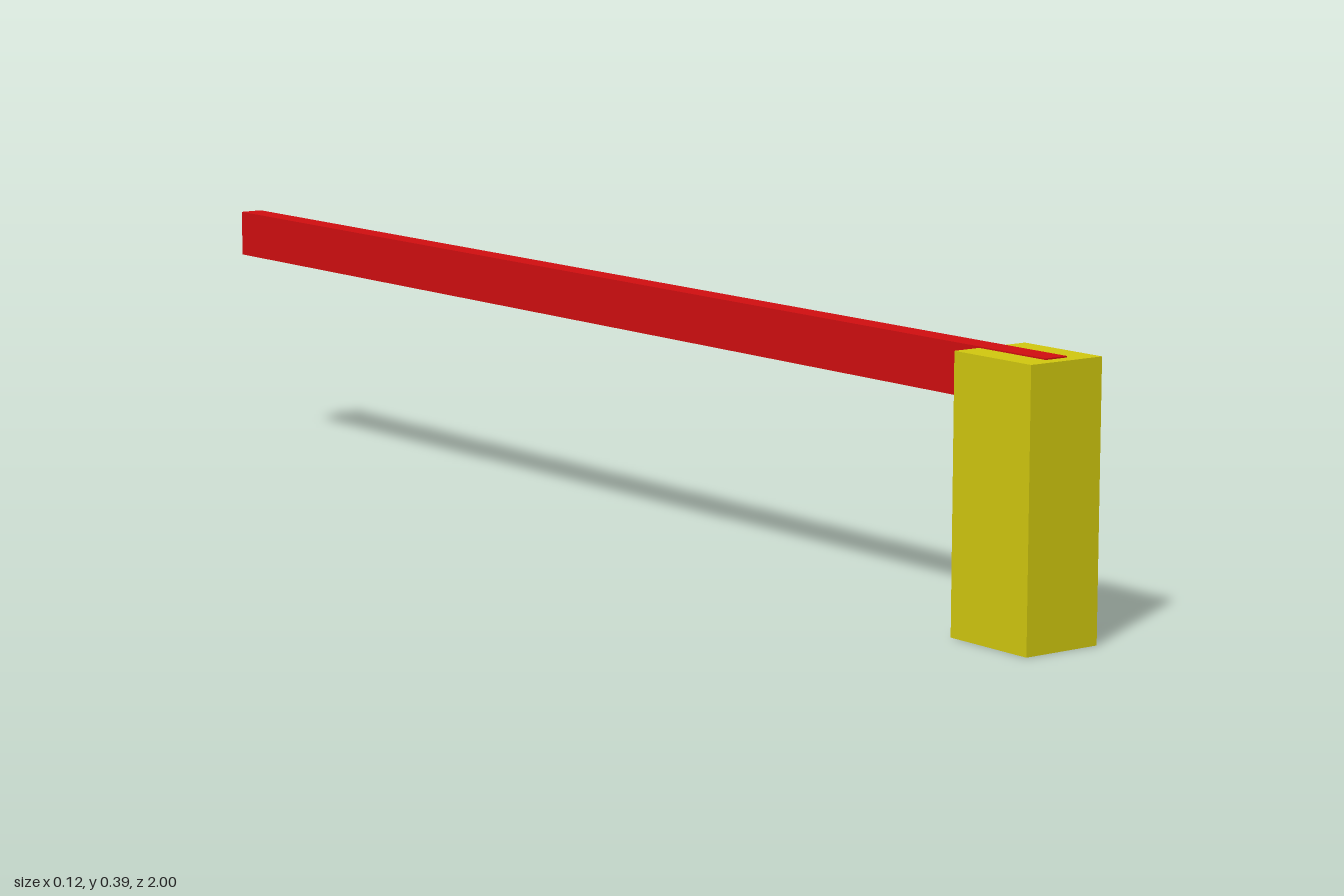
import * as THREE from 'three';

// Box spanning the given min and max corners
function block(name, color, min, max) {
  const size = max.map((v, i) => v - min[i]);
  const mesh = new THREE.Mesh(
    new THREE.BoxGeometry(...size),
    new THREE.MeshStandardMaterial({ color, flatShading: true })
  );
  mesh.position.set(...max.map((v, i) => (v + min[i]) / 2));
  mesh.name = name;
  return mesh;
}

export function createModel() {
  const group = new THREE.Group();
  group.name = 'barrierGate';

  // Upright post at the front
  group.add(block('post', 0xd0c70f, [-0.0615, 0, 0.85], [0.0615, 0.384, 1]));

  // Long arm let into the post, its top just proud of the post top
  group.add(block('arm', 0xd00e10, [-0.0185, 0.315, -1], [0.0185, 0.386, 0.98]));

  return group;
}
